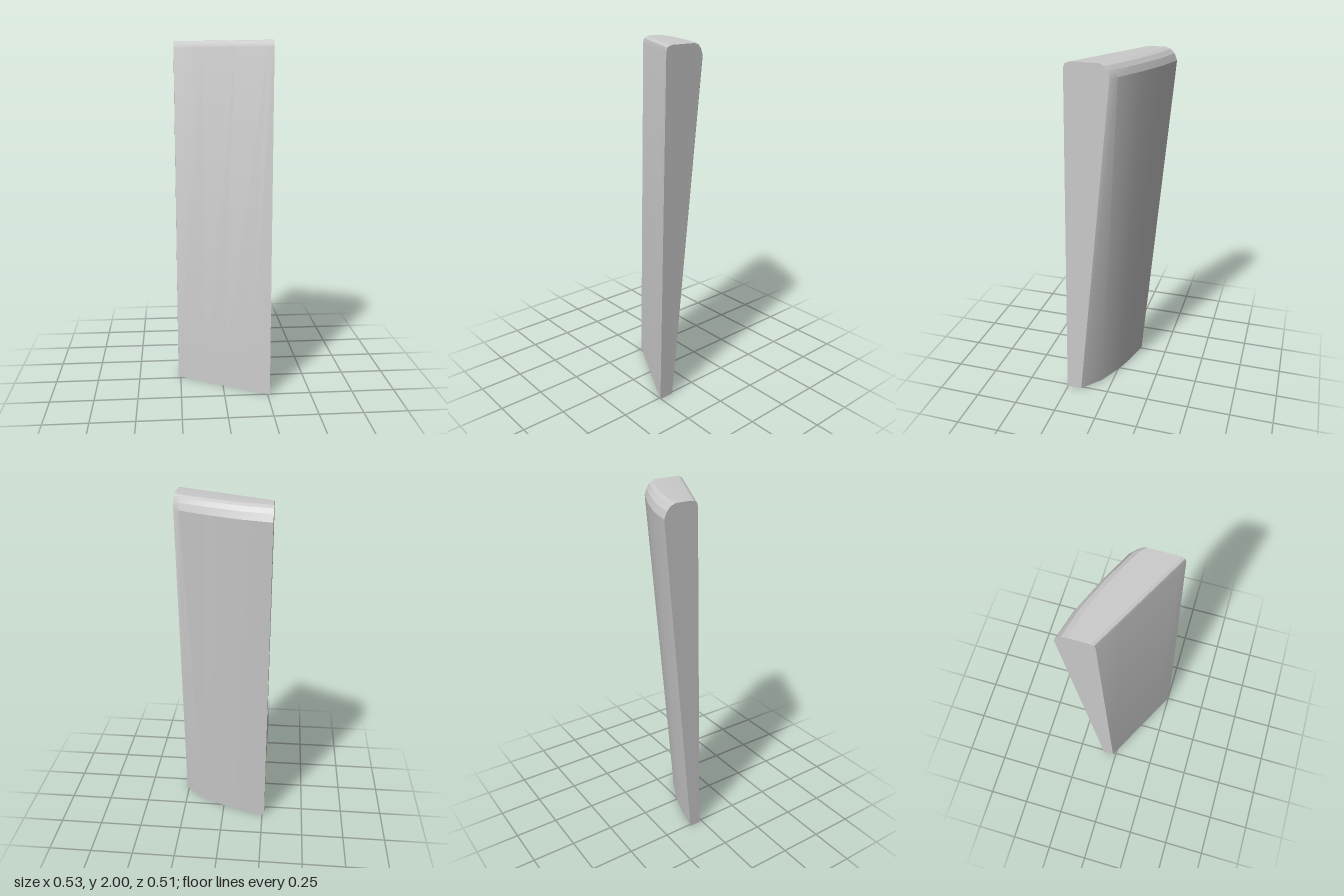
import * as THREE from 'three';
import { toCreasedNormals } from 'three/addons/utils/BufferGeometryUtils.js';

// Stations along the slab, from -x to +x: back edge [x, z] at the foot and at the head
const FOOT = [[-0.263, -0.085], [-0.1, -0.043], [0, -0.008], [0.15, 0.066], [0.263, 0.165]];
const HEAD = [[-0.263, -0.257], [-0.105, -0.215], [0.065, -0.145], [0.23, -0.063], [0.263, -0.03]];
const SHOULDER = 1.93; // height where the back starts to round over

// Cross-section at one station, running up the front, over the top and down the back
function section(i) {
  const [xf, zf] = FOOT[i], [xh, zh] = HEAD[i];
  const front = (x, z) => z + 0.518 * x; // the front plane runs obliquely
  const round = 0.06 - 0.02 * xh;        // depth of the rounded back edge
  return [
    [xf, 0, front(xf, 0.118)],
    [xh, 1.965, front(xh, 0.075)],
    [xh, 1.988, front(xh, 0.068)],
    [xh, 1.997, front(xh, 0.052)],
    [xh, 2, front(xh, 0.03)],
    [xh, 2, zh + round],
    [xh, 1.99, zh + round * 0.58],
    [xh, 1.967, zh + round * 0.23],
    [xh, SHOULDER, zh],
    [xf, 0, zf],
  ];
}

function slabGeometry() {
  const rings = FOOT.map((_, i) => section(i));
  const n = rings[0].length;
  const pos = rings.flat(2), index = [];
  for (let i = 0; i < rings.length - 1; i++) {
    for (let j = 0; j < n; j++) {
      const a = i * n + j, b = i * n + (j + 1) % n;
      index.push(a, a + n, b + n, a, b + n, b);
    }
  }
  // Flat ends
  const last = (rings.length - 1) * n;
  for (let j = 1; j < n - 1; j++) {
    index.push(0, j, j + 1);
    index.push(last, last + j + 1, last + j);
  }
  const geo = new THREE.BufferGeometry();
  geo.setAttribute('position', new THREE.Float32BufferAttribute(pos, 3));
  geo.setIndex(index);
  return toCreasedNormals(geo, 0.35);
}

export function createModel() {
  const group = new THREE.Group();
  group.name = 'leaningSlab';
  const slab = new THREE.Mesh(slabGeometry(), new THREE.MeshStandardMaterial({ color: 0xcccccc }));
  slab.name = 'slab';
  group.add(slab);
  return group;
}
